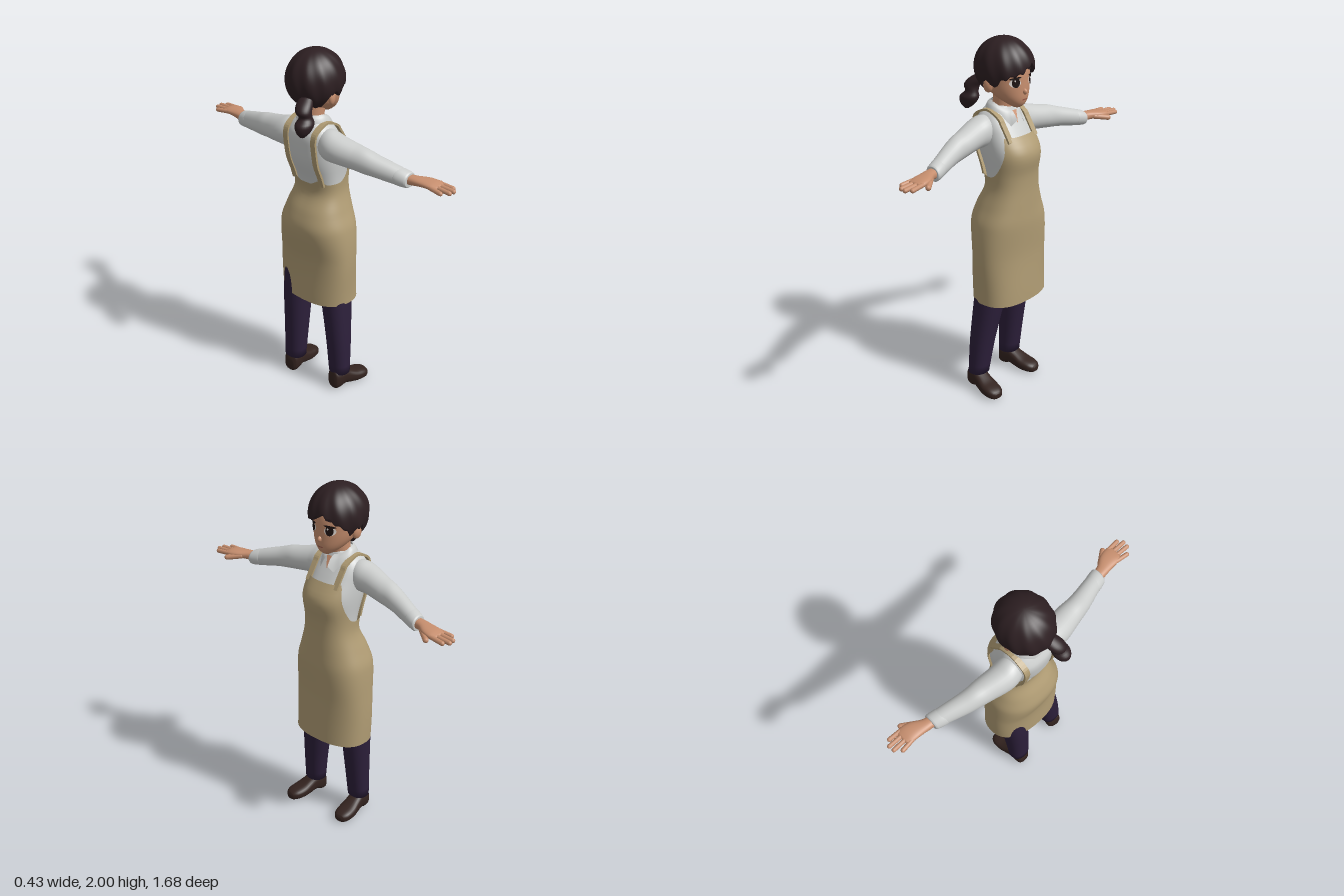
import * as THREE from 'three';
import { mergeVertices } from 'three/addons/utils/BufferGeometryUtils.js';

const mat = (name, color, side = THREE.FrontSide) => {
  const m = new THREE.MeshStandardMaterial({ color, side });
  m.name = name;
  return m;
};

// Hermite blend between section k and k+1; a section is [s, centreA, centreB, radiusA, radiusB]
function blend(secs, k, t) {
  const n = secs.length - 1, p = secs[k], q = secs[k + 1];
  const before = secs[Math.max(k - 1, 0)], after = secs[Math.min(k + 2, n)];
  const h = q[0] - p[0];
  return p.map((v, i) => {
    const m0 = (q[i] - before[i]) / (q[0] - before[0]) * h;
    const m1 = (after[i] - v) / (after[0] - p[0]) * h;
    const t2 = t * t, t3 = t2 * t;
    return (2 * t3 - 3 * t2 + 1) * v + (t3 - 2 * t2 + t) * m0 + (3 * t2 - 2 * t3) * q[i] + (t3 - t2) * m1;
  });
}
function sectionAt(secs, s) {
  let k = 0;
  while (k < secs.length - 2 && s > secs[k + 1][0]) k++;
  const t = (s - secs[k][0]) / (secs[k + 1][0] - secs[k][0]);
  return blend(secs, k, Math.min(1, Math.max(0, t)));
}
const superCos = (t, p) => Math.sign(Math.cos(t)) * Math.abs(Math.cos(t)) ** (2 / p);
const superSin = (t, p) => Math.sign(Math.sin(t)) * Math.abs(Math.sin(t)) ** (2 / p);
const piecewise = (table, x) => {
  let k = 0;
  while (k < table.length - 2 && x > table[k + 1][0]) k++;
  const [a, b] = [table[k], table[k + 1]];
  return a[1] + (b[1] - a[1]) * (x - a[0]) / (b[0] - a[0]);
};

// Smooth grid surface from fn(u, v)
function surface(fn, nu, nv, flip = false) {
  const pos = [], idx = [];
  for (let j = 0; j <= nv; j++) for (let i = 0; i <= nu; i++) pos.push(...fn(i / nu, j / nv));
  for (let j = 0; j < nv; j++) for (let i = 0; i < nu; i++) {
    const a = j * (nu + 1) + i, b = a + 1, c = b + nu + 1, d = a + nu + 1;
    idx.push(...(flip ? [a, c, b, a, d, c] : [a, b, c, a, c, d]));
  }
  let g = new THREE.BufferGeometry();
  g.setAttribute('position', new THREE.Float32BufferAttribute(pos, 3));
  g.setIndex(idx);
  g = mergeVertices(g, 1e-5);
  g.computeVertexNormals();
  return g;
}

// Closed body through sections along one axis
function loft(axis, secs, p = 2, nu = 28) {
  const rings = [];
  for (let k = 0; k < secs.length - 1; k++) for (let i = 0; i < 4; i++) rings.push(blend(secs, k, i / 4));
  rings.push(secs[secs.length - 1]);
  const closed = r => [r[0], r[1], r[2], 0, 0];
  const all = [closed(rings[0]), ...rings, closed(rings[rings.length - 1])];
  const flip = (axis === 'y') !== (secs[1][0] < secs[0][0]);
  return surface((u, v) => {
    const r = all[Math.round(v * (all.length - 1))], t = (u % 1) * Math.PI * 2;
    const a = r[1] + r[3] * superCos(t, p), b = r[2] + r[4] * superSin(t, p);
    return axis === 'x' ? [r[0], a, b] : axis === 'y' ? [a, r[0], b] : [a, b, r[0]];
  }, nu, all.length - 1, flip);
}
// x of a vertical loft's surface at a given height and z
const surfaceX = (secs, p, y, z, side = 1) => {
  const [, cx, cz, rx, rz] = sectionAt(secs, y);
  return cx + side * rx * Math.max(0, 1 - Math.min(1, Math.abs((z - cz) / rz)) ** p) ** (1 / p);
};

const TORSO = [[1.0, .035, 0, .14, .19], [1.1, .045, 0, .13, .165], [1.2, .065, 0, .113, .138], [1.28, .06, 0, .12, .135],
  [1.4, .043, 0, .15, .145], [1.5, .007, 0, .128, .145], [1.56, -.012, 0, .107, .14], [1.6, -.014, 0, .084, .115], [1.64, -.01, 0, .06, .06]];
const APRON = [[.545, .05, 0, .15, .226], [.8, .045, 0, .145, .23], [1, .035, 0, .165, .215], [1.1, .045, 0, .15, .182],
  [1.2, .065, 0, .125, .15], [1.28, .06, 0, .132, .147], [1.4, .043, 0, .162, .157], [1.5, .007, 0, .141, .157]];
const FACE = [[1.642, .1, 0, .02, .022], [1.66, .09, 0, .05, .048], [1.69, .065, 0, .085, .08], [1.73, .037, 0, .115, .105],
  [1.78, .022, 0, .129, .118], [1.85, .01, 0, .135, .125], [1.92, 0, 0, .11, .1], [1.96, 0, 0, .05, .05]];

export function createModel() {
  const M = {
    hair: mat('hair', 0x2d1f22, THREE.DoubleSide), skin: mat('skin', 0xc68e6e), shirt: mat('shirt', 0xcbcdcc, THREE.DoubleSide),
    apron: mat('apron', 0xb09c74, THREE.DoubleSide), trousers: mat('trousers', 0x2c1f3a), shoe: mat('shoe leather', 0x33231f),
    eye: mat('eye', 0x1c1110), white: mat('eye white', 0xe2dad4), lip: mat('lip', 0xa0604e),
  };
  const root = new THREE.Group();
  const add = (name, geo, material, parent = root) => {
    const m = new THREE.Mesh(geo, material);
    m.name = name;
    parent.add(m);
    return m;
  };
  const ball = (name, material, at, size) => {
    const m = add(name, new THREE.SphereGeometry(1, 20, 14), material);
    m.position.set(...at);
    m.scale.set(...size);
    return m;
  };
  const finger = (name, a, b, r, parent) => {
    const from = new THREE.Vector3(...a), dir = new THREE.Vector3(...b).sub(from), len = dir.length();
    const m = add(name, new THREE.CapsuleGeometry(r, len, 4, 10), M.skin, parent);
    m.position.copy(from).addScaledVector(dir, .5);
    m.quaternion.setFromUnitVectors(new THREE.Vector3(0, 1, 0), dir.normalize());
  };
  // Thin patch laid on the front of a body
  const decal = (name, material, secs, p, cy, cz, h, w, lift, tilt = 0, sides = 24, start = 0) => {
    const g = new THREE.CircleGeometry(1, sides, start), a = g.attributes.position;
    for (let i = 0; i < a.count; i++) {
      const y = cy + a.getY(i) * h + a.getX(i) * tilt, z = cz - a.getX(i) * w;
      a.setXYZ(i, surfaceX(secs, p, y, z) + lift, y, z);
    }
    g.computeVertexNormals();
    add(name, g, material);
  };

  // Shirt body and neck
  add('shirtBody', loft('y', TORSO, 2.4, 40), M.shirt);
  add('neck', loft('y', [[1.56, 0, 0, .06, .06], [1.63, 0, 0, .055, .055], [1.72, .01, 0, .058, .056]]), M.skin);
  decal('openNeck', M.skin, TORSO, 2.4, 1.592, 0, .04, .034, .006, 0, 3, -Math.PI / 2);

  // Folded collar with two front points
  add('collar', surface((u, v) => {
    const d = 12 + u * 336, t = d * Math.PI / 180, off = Math.min(d, 360 - d);
    const front = Math.max(0, Math.cos(t));
    const top = 1.658 - .035 * front;
    const low = piecewise([[12, 1.575], [32, 1.538], [75, 1.6], [180, 1.605]], off);
    const w = Math.sqrt(v);
    return [-.002 + Math.cos(t) * (.063 + w * (.032 + .03 * front)), top + (low - top) * v, Math.sin(t) * (.065 + w * .035)];
  }, 48, 6), M.shirt);

  // Apron: skirt, waist and bib in one cloth, with arm openings cut by its top edge
  add('apron', surface((u, v) => {
    const t = (u % 1) * Math.PI * 2, off = Math.min(u, 1 - u) * 360;
    const s = Math.min(1, Math.max(0, (off - 46) / 50));
    const top = off > 96 ? 1.27 + .03 * Math.max(0, 1 - Math.abs(off - 148) / 20) : 1.27 + .225 * (1 - s) ** 1.7;
    const y = .545 + (top - .545) * v;
    const [, cx, , rx, rz] = sectionAt(APRON, y);
    const fold = 1 + .014 * Math.sin(3 * t + 11 * y) * Math.min(1, Math.max(0, (1.3 - y) * 4));
    return [cx + rx * fold * superCos(t, 2.4), y, rz * fold * superSin(t, 2.4)];
  }, 96, 40, true), M.apron);

  for (const k of [1, -1]) {
    const side = k > 0 ? 'left' : 'right';

    // Apron strap over the shoulder and down the back
    const on = (y, f) => new THREE.Vector2(surfaceX(TORSO, 2.4, y, .094, f) + f * .01, y);
    const path = new THREE.SplineCurve([...[1.47, 1.52, 1.56, 1.59].map(y => on(y, 1)), new THREE.Vector2(-.015, 1.622),
      ...[1.59, 1.55, 1.5, 1.4, 1.32, 1.26].map(y => on(y, -1))]);
    const outer = [], inner = [];
    for (let i = 0; i <= 40; i++) {
      const p = path.getPoint(i / 40), d = path.getTangent(i / 40);
      outer.push(new THREE.Vector2(p.x - d.y * .006, p.y + d.x * .006));
      inner.unshift(new THREE.Vector2(p.x + d.y * .006, p.y - d.x * .006));
    }
    const strap = add(side + 'Strap', new THREE.ExtrudeGeometry(new THREE.Shape([...outer, ...inner]), { depth: .032, bevelEnabled: false }), M.apron);
    strap.position.z = k > 0 ? .08 : -.112;

    // Sleeve, cuff and hand
    const along = secs => secs.map(([z, ...r]) => [z * k, ...r]);
    add(side + 'Sleeve', loft('z', along([[.08, -.02, 1.52, .06, .07], [.14, -.025, 1.513, .077, .085], [.2, -.025, 1.505, .077, .077],
      [.3, -.007, 1.488, .068, .068], [.36, .002, 1.478, .061, .066], [.42, .016, 1.465, .057, .058], [.5, .04, 1.446, .051, .052], [.57, .06, 1.43, .046, .044]])), M.shirt);
    add(side + 'Cuff', loft('z', along([[.525, .048, 1.438, .046, .044], [.535, .05, 1.437, .05, .048], [.585, .064, 1.427, .048, .043], [.595, .066, 1.426, .042, .037]])), M.shirt);
    const hand = new THREE.Group();
    hand.name = side + 'Hand';
    root.add(hand);
    add(side + 'Palm', loft('z', along([[.57, .065, 1.428, .03, .027], [.62, .074, 1.431, .034, .024], [.67, .092, 1.432, .046, .021],
      [.72, .1, 1.43, .05, .018], [.755, .101, 1.426, .044, .012]]), 2.3), M.skin, hand);
    [[.061, .054, .79], [.087, .086, .822], [.113, .116, .826], [.137, .143, .803]].forEach(([x0, x1, z], i) =>
      finger(side + 'Finger' + (i + 1), [x0, 1.429, .72 * k], [x1, 1.422, z * k], .0125, hand));
    finger(side + 'Thumb', [.112, 1.427, .65 * k], [.16, 1.415, .715 * k], .015, hand);

    // Ear, eye and brow
    ball(side + 'Ear', M.skin, [.005, 1.762, .119 * k], [.027, .038, .017]).rotation.y = .3 * k;
    decal(side + 'EyeWhite', M.white, FACE, 2, 1.785, .056 * k, .024, .027, .003);
    decal(side + 'Iris', M.eye, FACE, 2, 1.787, .055 * k, .027, .019, .005);
    decal(side + 'Lash', M.eye, FACE, 2, 1.81, .057 * k, .006, .029, .006, .004 * k);
    decal(side + 'EyeGlint', M.white, FACE, 2, 1.797, .055 * k + .006, .005, .004, .007, 0, 10);
    decal(side + 'Brow', M.hair, FACE, 2, 1.84, .058 * k, .005, .027, .004, .004 * k);
  }

  // Head
  add('face', loft('y', FACE, 2, 36), M.skin);
  ball('nose', M.skin, [.147, 1.732, 0], [.02, .017, .012]);
  decal('mouth', M.lip, FACE, 2, 1.69, 0, .004, .02, .003);

  // Hair cap: lower edge swept by angle, tucked in underneath
  const edge = [[-180, 1.705], [-118, 1.71], [-102, 1.79], [-84, 1.79], [-72, 1.755], [-58, 1.8], [-35, 1.835], [-14, 1.872],
    [-6, 1.865], [15, 1.835], [38, 1.82], [58, 1.8], [72, 1.755], [84, 1.79], [102, 1.79], [118, 1.71], [180, 1.705]];
  add('hairCap', surface((u, v) => {
    const d = (u % 1) * 360 - 180, t = d * Math.PI / 180;
    const low = piecewise(edge, d) + .006 * Math.sin(t * 21);
    const end = Math.acos(Math.max(-1, (low - 1.84) / .16));
    const f = end * Math.min(1, v / .9), tuck = v > .9 ? 1 - (v - .9) * 1.6 : 1;
    const r = Math.sin(f) * tuck * (1 + .018 * Math.sin(f) * Math.sin(t * 11 + f * 3));
    return [.01 + .165 * r * Math.cos(t), 1.84 + .16 * Math.cos(f), .15 * r * Math.sin(t)];
  }, 120, 30, false), M.hair);
  add('ponytail', loft('y', [[1.594, -.182, .085, .014, .012], [1.62, -.175, .085, .042, .034], [1.66, -.163, .083, .056, .046],
    [1.692, -.15, .078, .037, .034], [1.722, -.156, .07, .044, .042], [1.755, -.135, .058, .045, .042], [1.79, -.1, .045, .03, .03]]), M.hair);

  // Trousers
  add('leftTrouserLeg', loft('y', [[.1, -.002, .2, .053, .06], [.3, .01, .18, .067, .068], [.56, .03, .14, .085, .08], [.8, .035, .1, .09, .09]], 2.3), M.trousers);
  add('rightTrouserLeg', loft('y', [[.1, -.043, -.103, .055, .061], [.3, -.03, -.104, .068, .067], [.56, -.01, -.107, .085, .077], [.8, .02, -.1, .09, .09]], 2.3), M.trousers);

  // Shoes
  const shoe = loft('x', [[-.064, .045, 0, .03, .025], [-.052, .057, 0, .057, .042], [-.02, .058, 0, .058, .046], [.015, .063, 0, .051, .046],
    [.05, .05, 0, .045, .048], [.1, .036, 0, .036, .054], [.15, .03, 0, .03, .05], [.178, .025, 0, .023, .034], [.188, .022, 0, .012, .016]], 2.6);
  for (const [name, x, z, turn] of [['leftShoe', 0, .205, -.2], ['rightShoe', -.037, -.107, .1]]) {
    const m = add(name, shoe, M.shoe);
    m.position.set(x, 0, z);
    m.rotation.y = turn;
  }
  return root;
}
